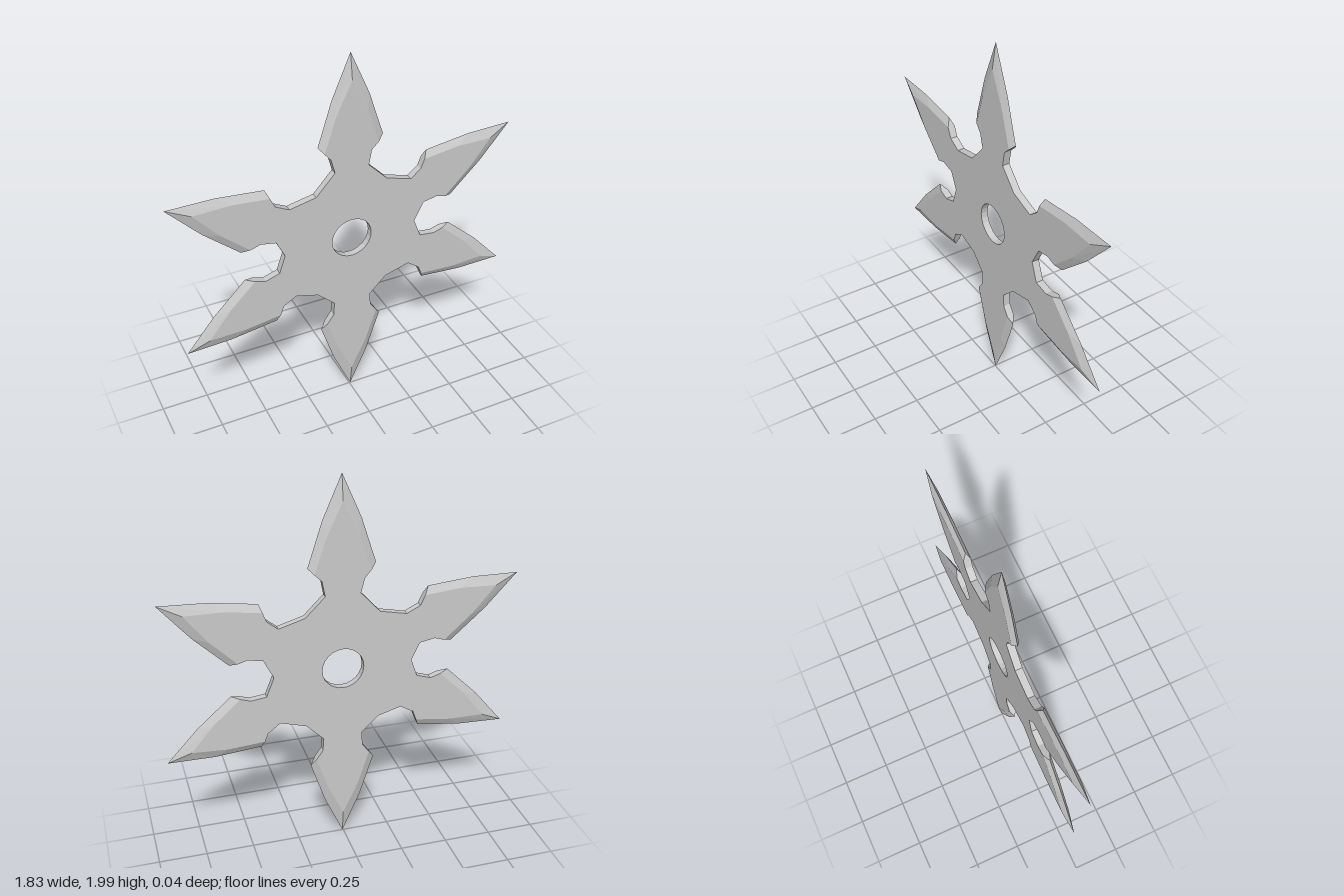
import * as THREE from 'three';

const HALF = 0.019; // half thickness of the plate

// Clockwise outline, one row per blade: tip, shoulder, five points of the gap, next blade's shoulder
const ROWS = [
  [0.005, 2, 0.177, 1.55, 0.11, 1.485, 0.095, 1.405, 0.195, 1.305, 0.33, 1.265, 0.385, 1.31, 0.42, 1.4],
  [0.9, 1.445, 0.575, 1.095, 0.485, 1.12, 0.41, 1.105, 0.36, 1.005, 0.4, 0.905, 0.48, 0.895, 0.575, 0.925],
  [0.91, 0.598, 0.43, 0.615, 0.4, 0.695, 0.335, 0.745, 0.2, 0.705, 0.11, 0.615, 0.115, 0.545, 0.177, 0.455],
  [0.005, 0.008, -0.165, 0.455, -0.1, 0.545, -0.095, 0.62, -0.185, 0.705, -0.305, 0.74, -0.375, 0.7, -0.41, 0.605],
  [-0.89, 0.56, -0.565, 0.915, -0.465, 0.885, -0.39, 0.91, -0.357, 1.005, -0.4, 1.095, -0.48, 1.11, -0.575, 1.08],
  [-0.92, 1.413, -0.44, 1.395, -0.395, 1.3, -0.325, 1.265, -0.185, 1.295, -0.085, 1.405, -0.105, 1.48, -0.165, 1.55],
];

const lerp = (a, b, t) => a.clone().lerp(b, t);

// Pairs of points: rim lies on the middle plane, face on the flat sides
function bladeOutline() {
  const rows = ROWS.map((r) => Array.from({ length: 8 }, (_, i) => new THREE.Vector2(r[2 * i], r[2 * i + 1])));
  const loop = [];
  rows.forEach((row, k) => {
    const before = rows[(k + 5) % 6];
    const tip = row[0];
    const inA = lerp(before[7], before[6], 0.45);
    const inB = lerp(row[1], row[2], 0.45);
    const axis = lerp(before[7], row[1], 0.5).sub(tip).normalize();
    const inTip = tip.clone().addScaledVector(axis, 0.13);

    // slightly bowed cutting edge between a and b
    const middle = (a, b, fa, fb) => {
      const d = b.clone().sub(a).normalize();
      const bow = new THREE.Vector2(-d.y, d.x).multiplyScalar(0.012);
      return { rim: lerp(a, b, 0.5).add(bow), face: lerp(fa, fb, 0.5).add(bow) };
    };
    loop.push(
      { rim: before[7], face: inA },
      middle(before[7], tip, inA, inTip),
      { rim: tip, face: inTip },
      middle(tip, row[1], inTip, inB),
      { rim: row[1], face: inB },
      ...row.slice(2, 7).map((p) => ({ rim: p, face: p })),
    );
  });
  return loop;
}

function flatMesh(name, positions, material) {
  const geometry = new THREE.BufferGeometry();
  geometry.setAttribute('position', new THREE.Float32BufferAttribute(positions, 3));
  geometry.computeVertexNormals();
  const mesh = new THREE.Mesh(geometry, material);
  mesh.name = name;
  return mesh;
}

// Wall from the front face over the rim to the back face
function wall(loop) {
  const out = [];
  const quad = (a, b, c, d) => [a, b, c, a, c, d].forEach(([p, z]) => out.push(p.x, p.y, z));
  loop.forEach((p, i) => {
    const q = loop[(i + 1) % loop.length];
    quad([p.rim, 0], [p.face, HALF], [q.face, HALF], [q.rim, 0]);
    quad([p.face, -HALF], [p.rim, 0], [q.rim, 0], [q.face, -HALF]);
  });
  return out;
}

// Flat side of the plate, facing +z (side 1) or -z (side -1)
function flatSide(outline, hole, side) {
  const points = [...outline, ...hole];
  const out = [];
  for (const t of THREE.ShapeUtils.triangulateShape(outline.slice(), [hole.slice()])) {
    const [a, b, c] = t.map((i) => points[i]);
    const ccw = (b.x - a.x) * (c.y - a.y) - (b.y - a.y) * (c.x - a.x) > 0;
    const order = ccw === side > 0 ? [a, b, c] : [a, c, b];
    order.forEach((p) => out.push(p.x, p.y, side * HALF));
  }
  return out;
}

export function createModel() {
  const group = new THREE.Group();
  group.name = 'throwingStar';
  const material = new THREE.MeshStandardMaterial({ color: 0xcccccc, flatShading: true });

  const loop = bladeOutline();
  const outline = loop.map((p) => p.face);

  // Round centre hole
  const hole = Array.from({ length: 24 }, (_, i) => {
    const a = (i / 24) * Math.PI * 2;
    return new THREE.Vector2(0.005 + 0.108 * Math.cos(a), 1.006 + 0.108 * Math.sin(a));
  });

  group.add(
    flatMesh('frontFace', flatSide(outline, hole, 1), material),
    flatMesh('backFace', flatSide(outline, hole, -1), material),
    flatMesh('bladeEdges', wall(loop), material),
    flatMesh('holeWall', wall(hole.map((p) => ({ rim: p, face: p }))), material),
  );
  return group;
}
